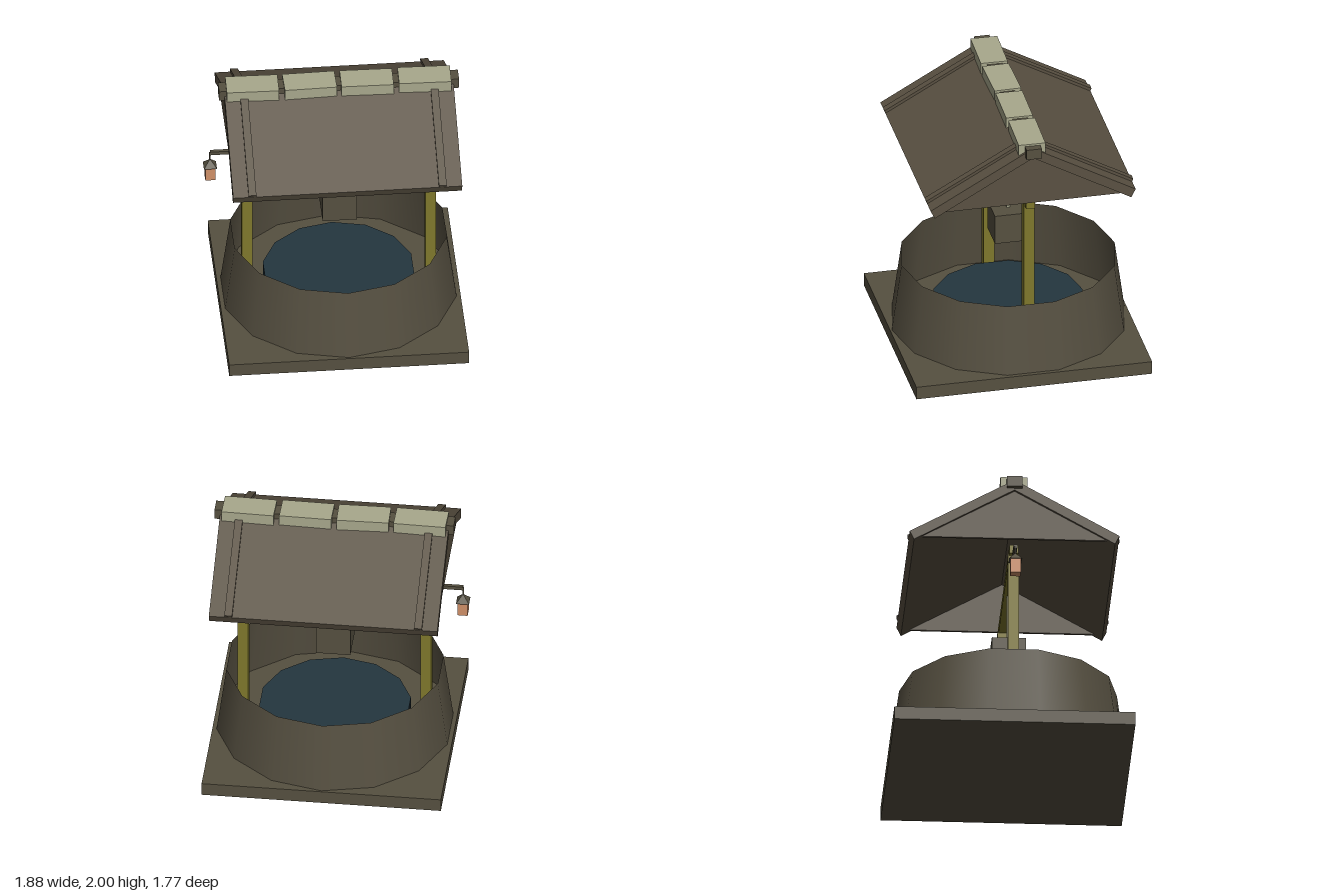
import * as THREE from 'three';

const CX = 0.053; // axis of the well

const paint = (name, color, side = THREE.FrontSide) => {
  const m = new THREE.MeshStandardMaterial({ color, side });
  m.name = name;
  return m;
};

export function createModel() {
  const stone = paint('stone', 0x565040);
  const wallStone = paint('wall stone', 0x565041, THREE.DoubleSide);
  const roofWood = paint('roof wood', 0x5a5142);
  const timber = paint('timber', 0x7f782c);
  const pale = paint('pale tile', 0xa8a88c);
  const water = paint('water', 0x24363f);
  const glow = paint('lantern glow', 0xd09068);

  const model = new THREE.Group();
  model.name = 'well';

  const add = (name, geometry, material, x = 0, y = 0, z = 0) => {
    const mesh = new THREE.Mesh(geometry, material);
    mesh.name = name;
    mesh.position.set(x, y, z);
    model.add(mesh);
    return mesh;
  };
  // Box given by its limits in x and y and its half depth in z
  const box = (name, material, x0, x1, y0, y1, hz) =>
    add(name, new THREE.BoxGeometry(x1 - x0, y1 - y0, hz * 2), material,
      (x0 + x1) / 2, (y0 + y1) / 2, 0);
  // Cross-section in z and y, extruded along x
  const slab = (name, material, points, x0, x1) => {
    const shape = new THREE.Shape(points.map(([z, y]) => new THREE.Vector2(z, y)));
    const g = new THREE.ExtrudeGeometry(shape, { depth: x1 - x0, bevelEnabled: false });
    g.rotateY(Math.PI / 2);
    return add(name, g, material, x0, 0, 0);
  };

  // Plinth, tapered wall and water
  box('plinth', stone, -0.83, 0.935, 0, 0.1, 0.885);
  add('wall', new THREE.CylinderGeometry(0.8, 0.873, 0.535, 14, 1, true), wallStone, CX, 0.3675, 0);
  add('water', new THREE.CylinderGeometry(0.56, 0.56, 0.17, 14), water, CX, 0.185, 0);

  // Posts and cross beam
  for (const x of [-0.622, 0.728]) box('post', timber, x - 0.04, x + 0.04, 0.1, 1.435, 0.04);
  box('crossBeam', timber, -0.705, 0.81, 1.422, 1.485, 0.033);

  // Rope and bucket
  box('rope', pale, 0.041, 0.064, 1.03, 1.43, 0.012);
  box('bucket', stone, -0.075, 0.178, 0.8, 1.03, 0.126);

  // Pitched roof, end gables and battens
  slab('roof', roofWood, [[0.77, 1.54], [0, 1.972], [-0.77, 1.54],
    [-0.738, 1.475], [0, 1.892], [0.738, 1.475]], -0.79, 0.895);
  for (const x of [-0.77, 0.855])
    slab('gable', roofWood, [[0.68, 1.508], [0, 1.89], [-0.68, 1.508]], x, x + 0.02);
  for (const x of [-0.677, 0.723])
    slab('batten', roofWood, [[0.778, 1.561], [0, 1.994], [-0.778, 1.561],
      [-0.768, 1.541], [0, 1.97], [0.768, 1.541]], x, x + 0.057);

  // Ridge pole with four slightly skewed cap tiles
  box('ridgePole', stone, -0.83, 0.935, 1.905, 1.985, 0.057);
  [-0.583, -0.16, 0.26, 0.685].forEach((x, i) => {
    const tile = box('ridgeTile', pale, x - 0.192, x + 0.192, 1.905, 2, 0.1);
    tile.rotation.y = [-0.02, 0.02, -0.015, -0.02][i];
  });

  // Lantern on a bracket
  box('bracket', stone, -0.893, -0.66, 1.375, 1.403, 0.014);
  box('hanger', stone, -0.898, -0.888, 1.32, 1.39, 0.005);
  const hood = new THREE.ConeGeometry(0.048 * Math.SQRT2, 0.06, 4).toNonIndexed();
  hood.rotateY(Math.PI / 4);
  hood.computeVertexNormals();
  add('lanternHood', hood, stone, -0.893, 1.302, 0);
  box('lanternBody', glow, -0.93, -0.856, 1.163, 1.273, 0.037);

  return model;
}
